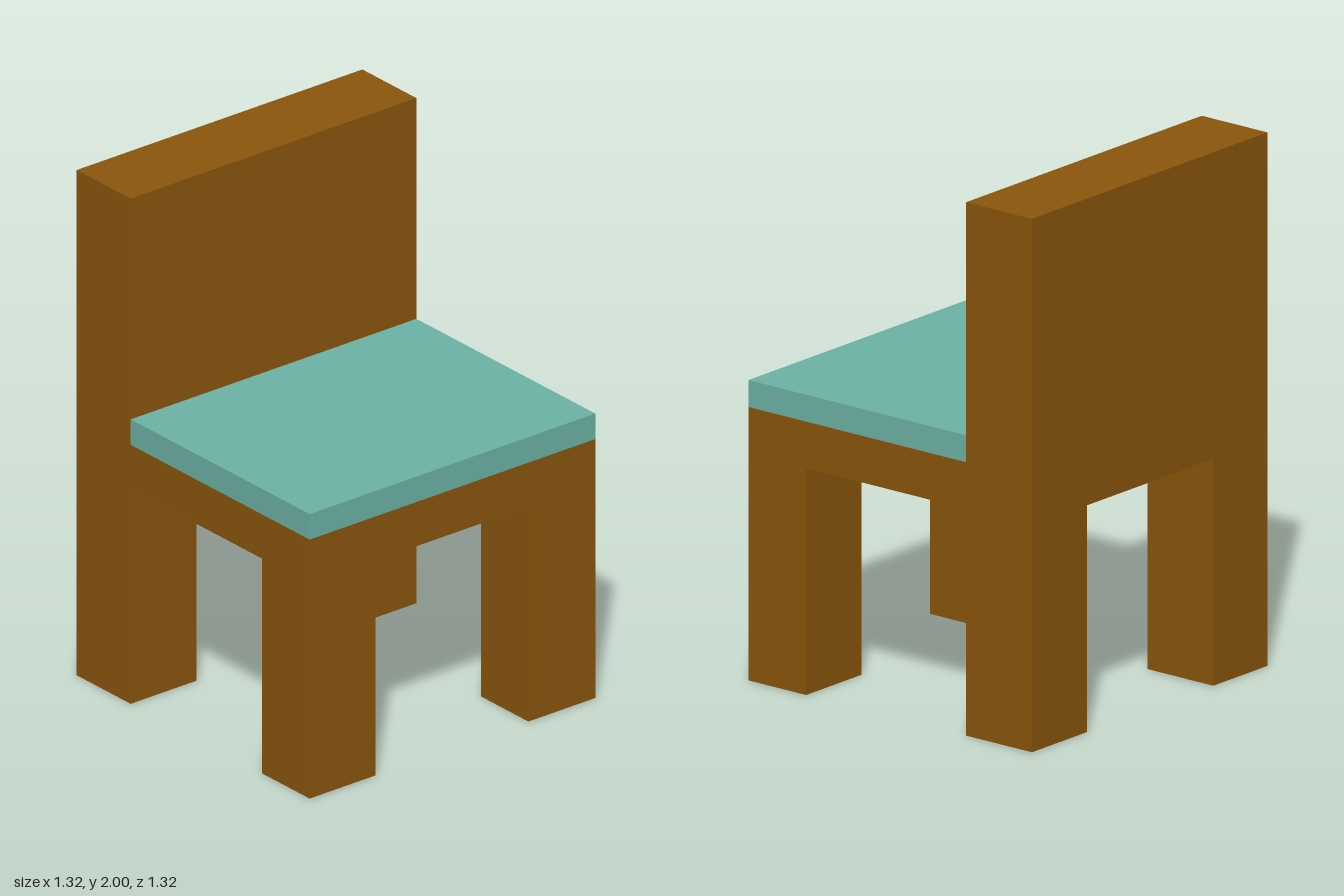
import * as THREE from 'three';

const wood = new THREE.MeshStandardMaterial({ color: 0x8b560c });
const teal = new THREE.MeshStandardMaterial({ color: 0x6db3a7 });

// Box given by its lower and upper limits on each axis
function block(name, material, [x0, x1], [y0, y1], [z0, z1]) {
  const mesh = new THREE.Mesh(new THREE.BoxGeometry(x1 - x0, y1 - y0, z1 - z0), material);
  mesh.position.set((x0 + x1) / 2, (y0 + y1) / 2, (z0 + z1) / 2);
  mesh.name = name;
  return mesh;
}

export function createModel() {
  const chair = new THREE.Group();
  chair.name = 'chair';

  const half = 0.658;       // half of the chair's width and depth
  const backEdge = -0.353;  // where the backrest meets the seat
  const legTop = 0.85;
  const frameTop = 1.025;
  const depth = [-half, half];

  // Backrest, seat frame and cushion
  chair.add(
    block('backrest', wood, [-half, backEdge], [legTop, 2], depth),
    block('seatFrame', wood, [backEdge, half], [legTop, frameTop], depth),
    block('seatCushion', teal, [backEdge, half], [frameTop, 1.126], depth)
  );

  // Four legs: two below the backrest, two below the seat's open edge
  for (const [side, z] of [['A', [0.355, half]], ['B', [-half, -0.35]]]) {
    chair.add(
      block('backLeg' + side, wood, [-half, backEdge], [0, legTop], z),
      block('frontLeg' + side, wood, [0.39, half], [0, legTop], z)
    );
  }
  return chair;
}
